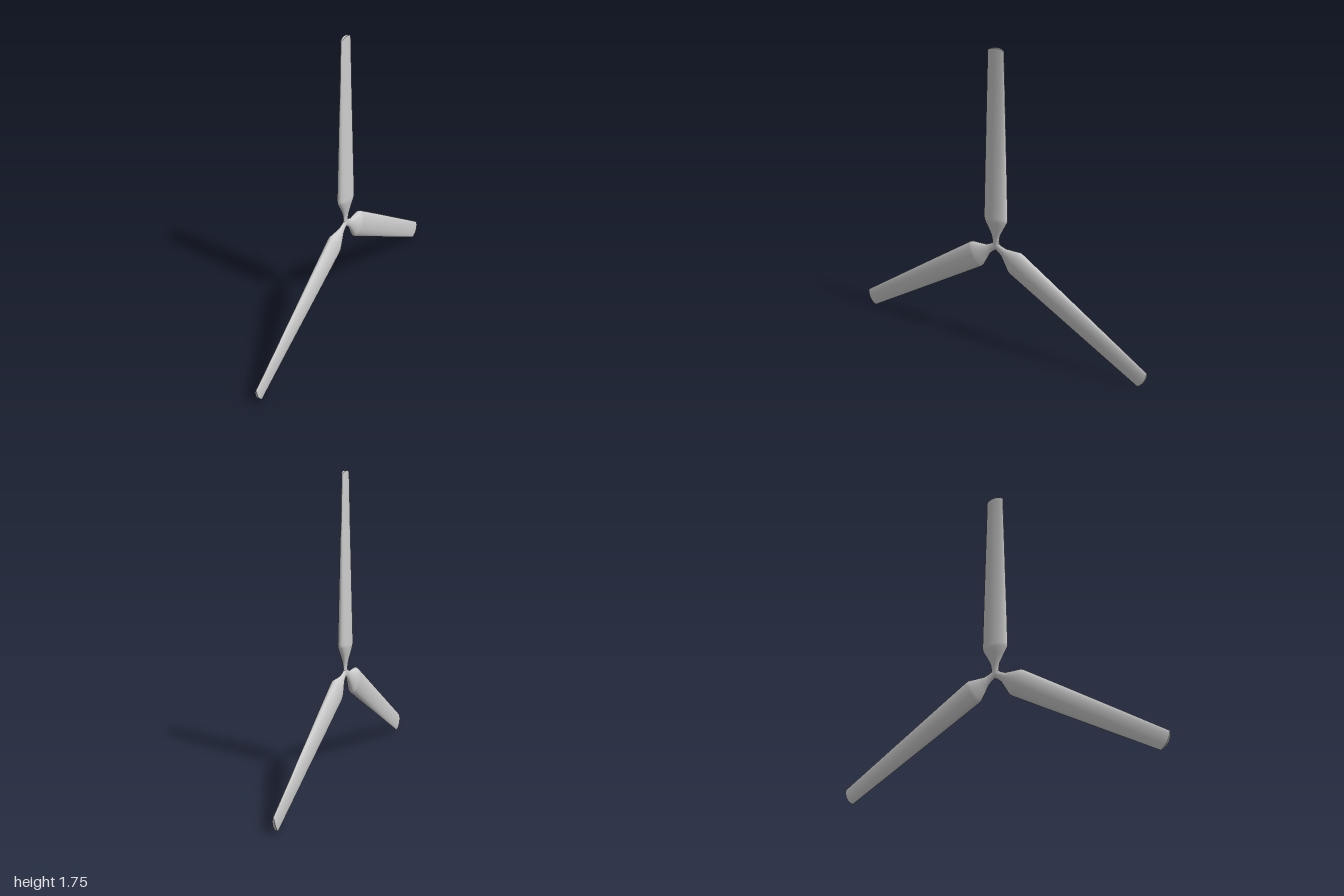
import * as THREE from 'three';

const HUB_Y = 0.6115;
const SIDES = 28;

// Blade stations: distance from hub, half width, half thickness
const STATIONS = [
  [0, 0.024, 0.011],
  [0.03, 0.023, 0.011],
  [0.062, 0.028, 0.015],
  [0.11, 0.054, 0.026],
  [0.15, 0.077, 0.034],
  [0.17, 0.079, 0.035],
  [0.4, 0.0735, 0.029],
  [0.75, 0.0645, 0.019],
  [1.138, 0.0545, 0.008],
];

// Elliptical sections lofted along y, with a rounded, capped tip
function bladeGeometry() {
  const positions = [];
  const indices = [];
  const last = STATIONS.length - 1;
  const addRing = ([r, w, t], bow) => {
    for (let j = 0; j < SIDES; j++) {
      const a = (j / SIDES) * Math.PI * 2;
      const c = Math.cos(a);
      positions.push(t * Math.sin(a), r - bow * c * c, w * c);
    }
  };
  STATIONS.forEach((s, i) => addRing(s, i === last ? 0.016 : 0));
  for (let i = 0; i < last; i++) {
    for (let j = 0; j < SIDES; j++) {
      const k = (j + 1) % SIDES;
      const a = i * SIDES + j, b = i * SIDES + k;
      indices.push(a, b, b + SIDES, a, b + SIDES, a + SIDES);
    }
  }
  // Tip cap: its own ring keeps the rim sharp; strips run across the thickness
  const cap = positions.length / 3;
  addRing(STATIONS[last], 0.016);
  for (let j = 0; j < SIDES / 2; j++) {
    const a = cap + j, b = cap + j + 1;
    const c = cap + SIDES - j - 1, d = cap + (SIDES - j) % SIDES;
    if (j < SIDES / 2 - 1) indices.push(a, b, c);
    if (j > 0) indices.push(a, c, d);
  }
  const geometry = new THREE.BufferGeometry();
  geometry.setAttribute('position', new THREE.Float32BufferAttribute(positions, 3));
  geometry.setIndex(indices);
  geometry.computeVertexNormals();
  return geometry;
}

export function createModel() {
  const model = new THREE.Group();
  model.name = 'rotor';
  const material = new THREE.MeshStandardMaterial({ color: 0xcccccc, side: THREE.DoubleSide });
  const geometry = bladeGeometry();

  // Three equal blades around the x axis
  ['topBlade', 'frontBlade', 'backBlade'].forEach((name, i) => {
    const blade = new THREE.Mesh(geometry, material);
    blade.name = name;
    blade.position.y = HUB_Y;
    blade.rotation.x = (i * Math.PI * 2) / 3;
    model.add(blade);
  });
  return model;
}
